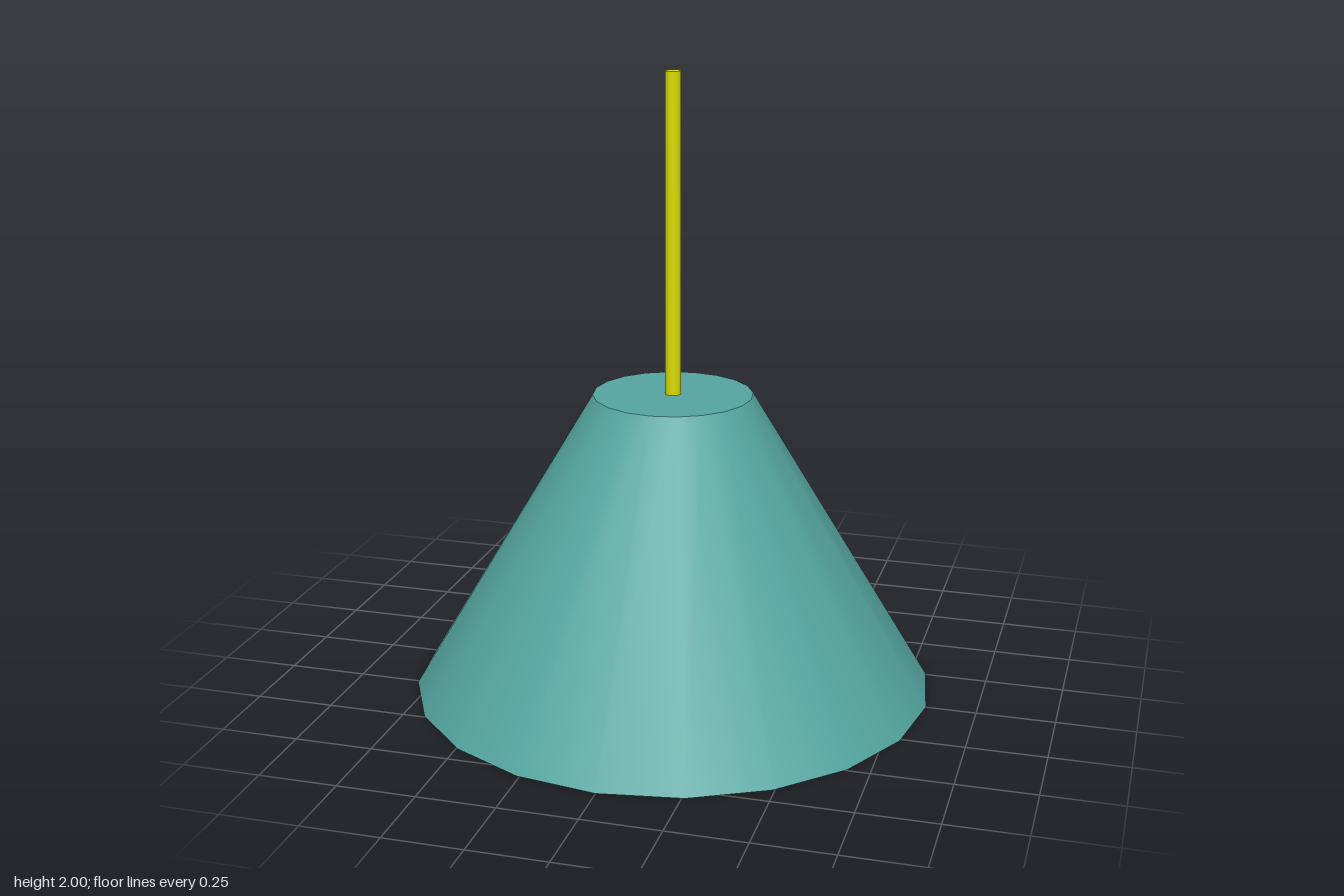
import * as THREE from 'three';

const SHADE_HEIGHT = 0.98;
const RIM_RADIUS = 0.84;
const SIDES = 20;
const TEAL = 0x55a6a2;

// Conical hollow inside the shade, shaded smoothly towards its apex
function hollowGeometry(apexHeight) {
  const profile = [new THREE.Vector2(0, apexHeight), new THREE.Vector2(RIM_RADIUS, 0)];
  const geometry = new THREE.LatheGeometry(profile, SIDES);
  const normals = geometry.attributes.normal;
  for (let i = 0; i < normals.count; i += 2) normals.setXYZ(i, 0, -1, 0);
  return geometry;
}

export function createModel() {
  const group = new THREE.Group();

  const addPart = (name, geometry, color, y) => {
    const mesh = new THREE.Mesh(geometry, new THREE.MeshStandardMaterial({ color }));
    mesh.name = name;
    mesh.position.y = y;
    group.add(mesh);
  };

  // Outer cone and flat top of the shade
  addPart('shade', new THREE.CylinderGeometry(0.255, RIM_RADIUS, SHADE_HEIGHT, SIDES, 1, true),
    TEAL, SHADE_HEIGHT / 2);
  addPart('shadeTop', new THREE.CircleGeometry(0.255, SIDES).rotateX(-Math.PI / 2),
    TEAL, SHADE_HEIGHT);

  // Inner surface, meeting the outer one at a sharp rim
  addPart('shadeInside', hollowGeometry(0.8), TEAL, 0);

  // Hanging rod, running through the shade top down to the bulb
  const rodBottom = 0.6;
  addPart('rod', new THREE.CylinderGeometry(0.025, 0.025, 2 - rodBottom, SIDES),
    0xdcdc04, (2 + rodBottom) / 2);

  // Round bulb in the middle of the shade
  addPart('bulb', new THREE.SphereGeometry(0.145, 32, 20), 0xcccccc, 0.485);

  return group;
}
